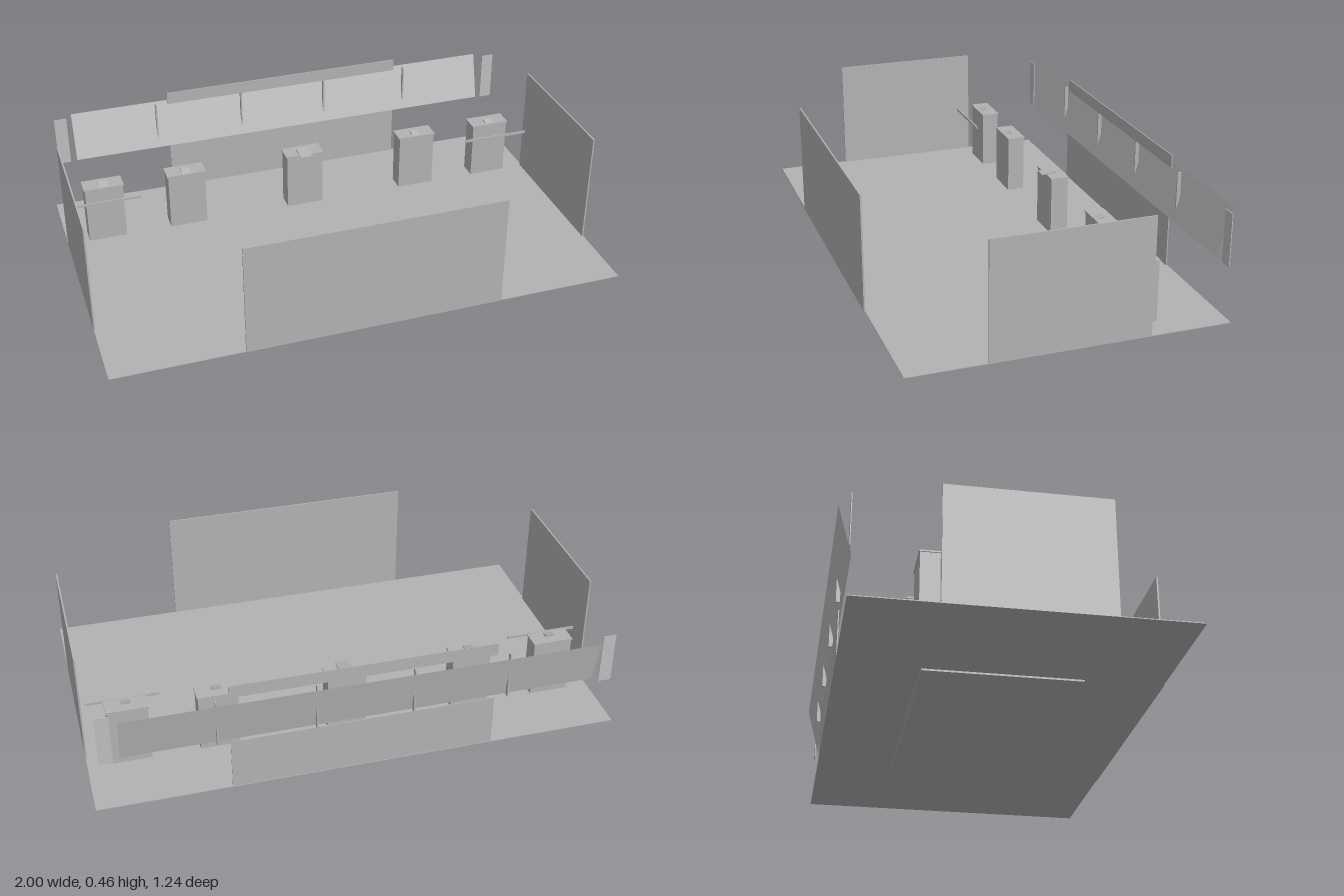
import * as THREE from 'three';

const grey = new THREE.MeshStandardMaterial({ color: 0xb2b2b2 });
grey.name = 'plain grey';
const pale = new THREE.MeshStandardMaterial({ color: 0xbebebe, side: THREE.DoubleSide });
pale.name = 'pale grey panel';

// Box given by its minimum and maximum corners
function block(parent, name, [x0, y0, z0], [x1, y1, z1], material = grey) {
  const mesh = new THREE.Mesh(new THREE.BoxGeometry(x1 - x0, y1 - y0, z1 - z0), material);
  mesh.position.set((x0 + x1) / 2, (y0 + y1) / 2, (z0 + z1) / 2);
  mesh.name = name;
  parent.add(mesh);
  return mesh;
}

// Small sloping label: a triangular section extruded across x
function wedge(parent, name, x, y, zBack, zFront, width, height) {
  const s = new THREE.Shape();
  s.moveTo(-zFront, 0);
  s.lineTo(-zBack, 0);
  s.lineTo(-zFront, height);
  s.closePath();
  const g = new THREE.ExtrudeGeometry(s, { depth: width, bevelEnabled: false });
  g.rotateY(Math.PI / 2);
  const mesh = new THREE.Mesh(g, grey);
  mesh.position.set(x - width / 2, y, 0);
  mesh.name = name;
  parent.add(mesh);
}

export function createModel() {
  const model = new THREE.Group();
  model.name = 'room';

  // Floor with a raised base beneath
  block(model, 'floor', [-1, 0.007, -0.585], [1, 0.01, 0.61]);
  block(model, 'floorBase', [-0.5, 0, -0.28], [0.5, 0.008, 0.316]);

  // Free-standing front and side walls
  block(model, 'frontWall', [-0.5, 0.01, 0.609], [0.5, 0.46, 0.615]);
  block(model, 'rightWall', [-1, 0.01, -0.28], [-0.994, 0.46, 0.316]);
  block(model, 'leftWall', [0.994, 0.01, -0.28], [1, 0.46, 0.316]);

  // Back wall, split by a window opening
  block(model, 'backWallLower', [-0.5, 0.01, -0.583], [0.5, 0.215, -0.579]);
  block(model, 'backWallUpper', [-0.5, 0.41, -0.583], [0.5, 0.46, -0.579]);

  // Long window panel leaning outwards at the top
  const lean = new THREE.PlaneGeometry(1.79, Math.hypot(0.19, 0.05));
  lean.rotateX(-Math.atan2(0.05, 0.19));
  const panel = new THREE.Mesh(lean, pale);
  panel.position.set(0, 0.313, -0.595);
  panel.name = 'windowPanel';
  model.add(panel);

  // Upright window posts
  for (const x of [-0.548, -0.183, 0.183, 0.548]) {
    block(model, 'windowPost', [x - 0.003, 0.22, -0.596], [x + 0.003, 0.41, -0.581]);
  }

  // Narrow end panes and rails, mirrored
  for (const side of [-1, 1]) {
    const pane = block(model, 'endPane', [-0.025, 0.21, -0.582], [0.025, 0.412, -0.579], pale);
    pane.position.x = side * 0.945;
    const rail = block(model, 'rail', [-0.139, 0.206, -0.225], [0.139, 0.216, -0.219]);
    rail.position.x = side * 0.837;
  }

  // Row of display plinths with caps and small stands
  for (const x of [-0.836, -0.5, 0, 0.496, 0.832]) {
    const plinth = new THREE.Group();
    plinth.name = 'plinth';
    plinth.position.x = x;
    block(plinth, 'plinthBody', [-0.076, 0.01, -0.342], [0.076, 0.242, -0.272]);
    block(plinth, 'plinthCap', [-0.08, 0.242, -0.345], [0.08, 0.248, -0.27]);
    const front = x === 0 ? -0.252 : -0.278;
    wedge(plinth, 'displayStand', 0, 0.248, front, -0.308, x === 0 ? 0.05 : 0.035, 0.01);
    model.add(plinth);
  }
  return model;
}
